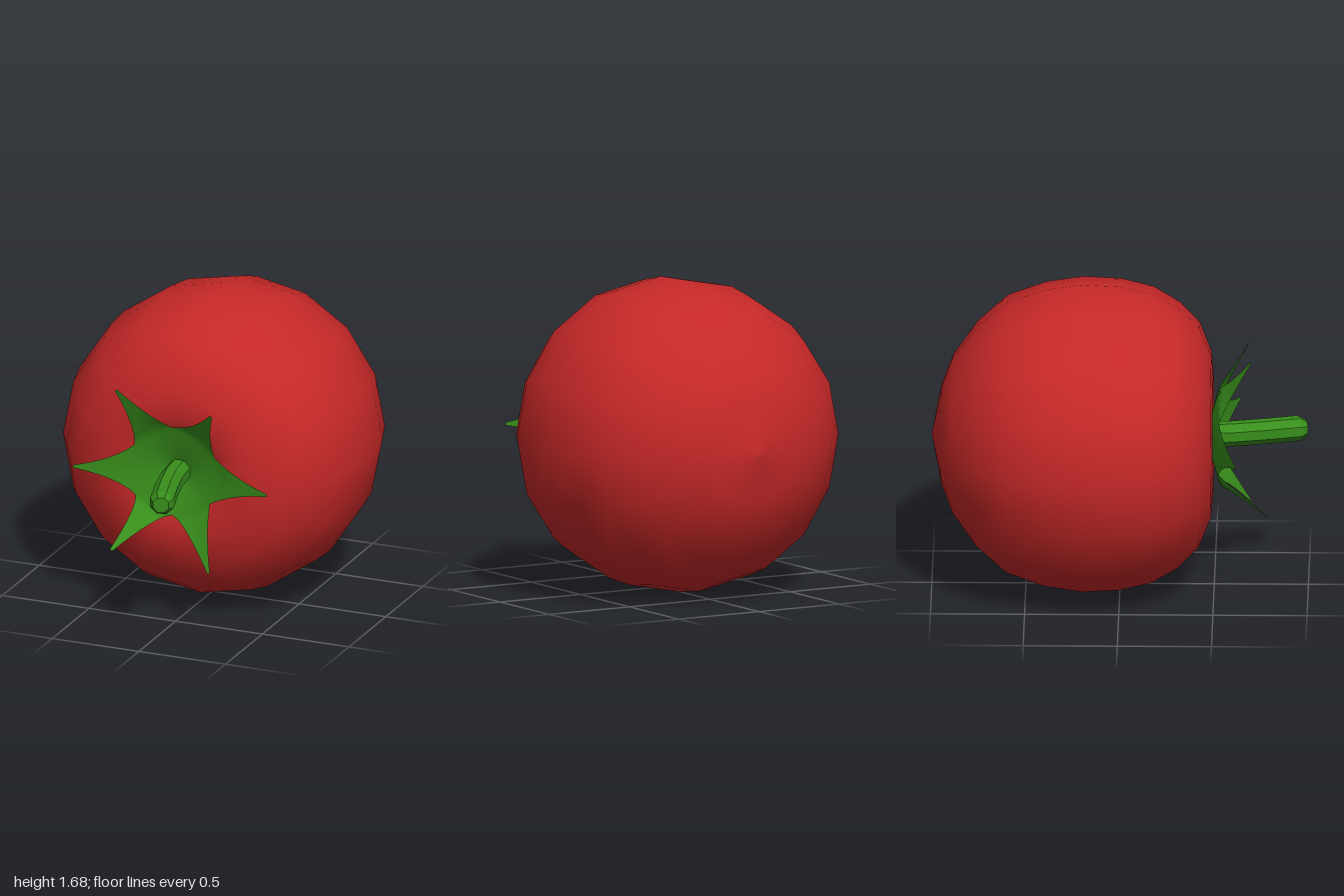
import * as THREE from 'three';
import { mergeVertices } from 'three/addons/utils/BufferGeometryUtils.js';

const CENTER_Y = 0.845;
const red = new THREE.MeshStandardMaterial({ color: 0xc62828 });
const green = new THREE.MeshStandardMaterial({ color: 0x388e1c, side: THREE.DoubleSide });

// Builds a smooth surface from rows of points; all rows have the same length
function gridGeometry(rows) {
  const n = rows[0].length;
  const index = [];
  for (let i = 0; i < rows.length - 1; i++) {
    for (let j = 0; j < n - 1; j++) {
      const a = i * n + j, b = a + 1, c = a + n, d = c + 1;
      index.push(a, b, d, a, d, c);
    }
  }
  const geometry = new THREE.BufferGeometry().setFromPoints(rows.flat());
  geometry.setIndex(index);
  return geometry;
}

// Fruit: a lathe about z, with a dimple at the stem end
function makeFruit() {
  const profile = [
    [0, -1], [0.26, -0.95], [0.42, -0.89], [0.6, -0.76], [0.74, -0.6], [0.81, -0.4],
    [0.84, -0.2], [0.83, 0], [0.79, 0.17], [0.71, 0.31], [0.6, 0.42], [0.44, 0.485],
    [0.32, 0.495], [0.23, 0.47], [0.13, 0.42], [0, 0.39],
  ].map(([r, z]) => new THREE.Vector2(r, z));
  const geometry = new THREE.LatheGeometry(profile, 16);
  geometry.rotateX(Math.PI / 2);
  const fruit = new THREE.Mesh(geometry, red);
  fruit.name = 'fruit';
  return fruit;
}

// Height of the cupped centre of the leaves
function cupHeight(r) {
  return r < 0.13 ? 0.44 + (r / 0.13) * 0.05 : 0.49 + ((r - 0.13) / 0.14) * 0.04;
}

// Leafy star: each leaf runs from the centre past two notches to its raised tip
function makeLeaves() {
  const tips = [[0.58, 0, 0.63], [0.28, 0.42, 0.68], [-0.26, 0.5, 0.7],
    [-0.54, 0, 0.62], [-0.25, -0.375, 0.79], [0.27, -0.465, 0.69]];
  const notches = [[0.24, 0.13], [-0.01, 0.265], [-0.225, 0.14],
    [-0.225, -0.14], [-0.01, -0.235], [0.205, -0.14]].map((p) => new THREE.Vector2(...p));
  const group = [];
  tips.forEach(([x, y, tipZ], i) => {
    const tip = new THREE.Vector2(x, y);
    const reach = tip.length();
    const sides = [notches[(i + 5) % 6], notches[i]];
    const across = new THREE.Vector2(-y, x).normalize();
    const edges = sides.map((notch, s) => {
      const sign = s ? 1 : -1;
      const control = tip.clone().multiplyScalar(0.6).addScaledVector(across, sign * 0.05);
      const end = tip.clone().addScaledVector(across, sign * 0.008);
      const curve = new THREE.QuadraticBezierCurve(notch, control, end);
      const inner = [0, 0.25, 0.5, 0.75].map((t) => notch.clone().multiplyScalar(t));
      return [...inner, ...curve.getPoints(8)];
    });
    const rows = edges[0].map((right, k) => [0, 0.25, 0.5, 0.75, 1].map((t) => {
      const p = right.clone().lerp(edges[1][k], t);
      // Round the inner arc so neighbouring leaves form one cup
      const r = p.length();
      const f = Math.max(0, (r - 0.27) / (reach - 0.27));
      const z = r < 0.27 ? cupHeight(r) : 0.53 + (tipZ - 0.53) * Math.pow(f, 0.85);
      return new THREE.Vector3(p.x, p.y, z);
    }));
    group.push(gridGeometry(rows.map((row) => row.reverse())));
  });

  // Join the leaves so shading flows across the star
  const points = [], index = [];
  for (const g of group) {
    const base = points.length / 3;
    points.push(...g.attributes.position.array);
    index.push(...Array.from(g.index.array, (v) => v + base));
  }
  let geometry = new THREE.BufferGeometry();
  geometry.setAttribute('position', new THREE.Float32BufferAttribute(points, 3));
  geometry.setIndex(index.reverse());
  geometry = mergeVertices(geometry, 1e-4);
  geometry.computeVertexNormals();
  const leaves = new THREE.Mesh(geometry, green);
  leaves.name = 'leaves';
  return leaves;
}

// Stem: an eight-sided stalk that leans to the left, with a bevelled end
function makeStem() {
  const sections = [[0, 0.42, 0.068], [0.02, 0.6, 0.068], [0.06, 0.77, 0.068],
    [0.11, 0.945, 0.068], [0.121, 0.985, 0.045], [0.121, 0.985, 0]];
  const rows = sections.map(([x, z, r], i) => Array.from({ length: 9 }, (_, j) => {
    const a = ((j + 0.5) / 8) * Math.PI * 2;
    const tilt = Math.min(i, 3) * 0.1;
    const u = Math.cos(a) * r, v = Math.sin(a) * r;
    return new THREE.Vector3(x + u * Math.cos(tilt), v, z - u * Math.sin(tilt));
  }));
  const geometry = gridGeometry(rows).toNonIndexed();
  geometry.computeVertexNormals();
  const stem = new THREE.Mesh(geometry, green);
  stem.name = 'stem';
  return stem;
}

export function createModel() {
  const model = new THREE.Group();
  model.name = 'tomato';
  model.add(makeFruit(), makeLeaves(), makeStem());
  model.children.forEach((part) => { part.position.y = CENTER_Y; });
  return model;
}
